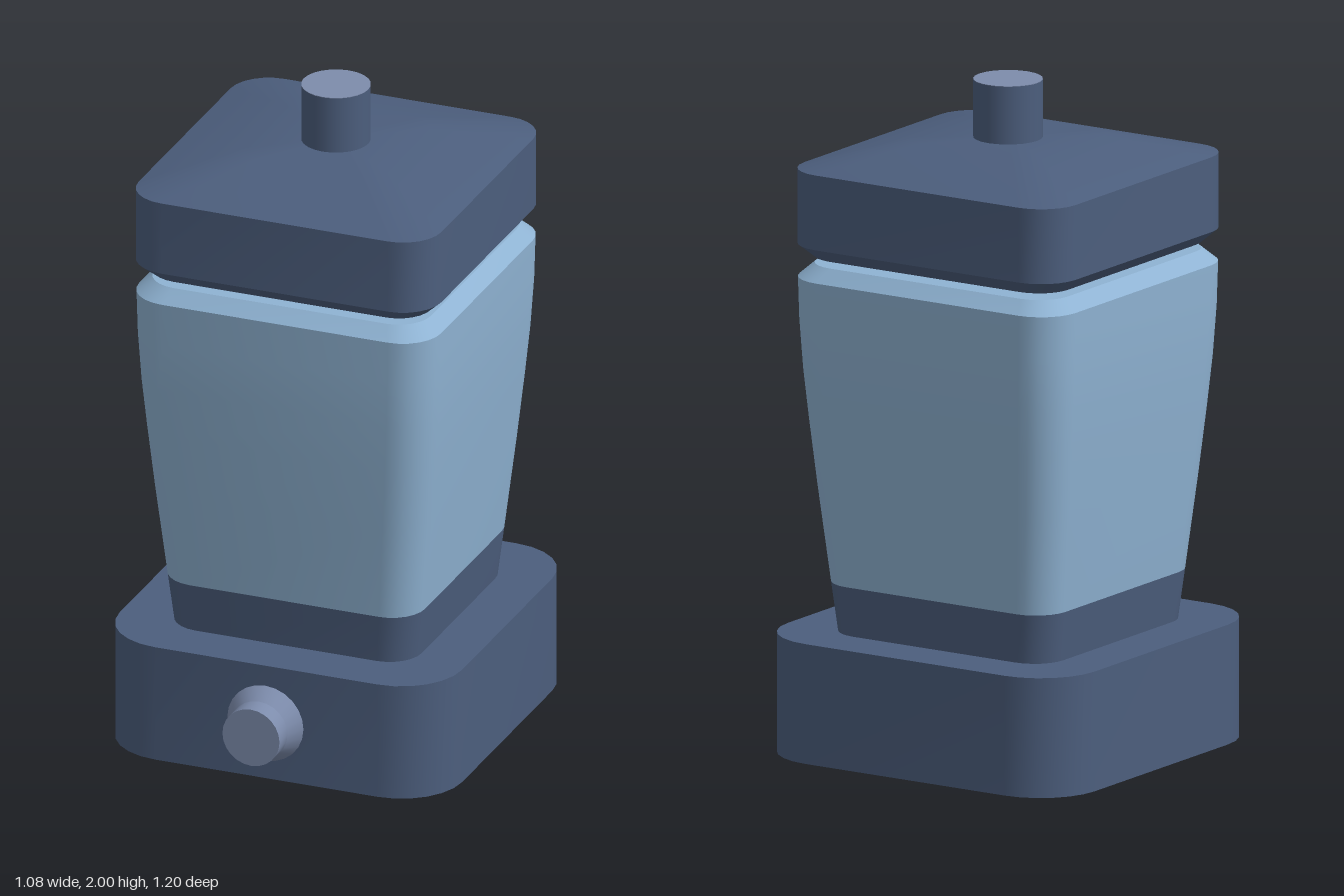
import * as THREE from 'three';
import { toCreasedNormals } from 'three/addons/utils/BufferGeometryUtils.js';

const CENTRE_Z = -0.06;
const CORNER_STEPS = 6;

const material = (name, color) => Object.assign(new THREE.MeshStandardMaterial({ color }), { name });

// Outline of a rounded square, counter-clockwise seen from the front of its plane
function roundedSquare(half, radius) {
  const points = [];
  for (let corner = 0; corner < 4; corner++) {
    const start = corner * Math.PI / 2;
    const cx = (corner === 0 || corner === 3 ? 1 : -1) * (half - radius);
    const cy = (corner < 2 ? 1 : -1) * (half - radius);
    for (let i = 0; i <= CORNER_STEPS; i++) {
      const a = start + (i / CORNER_STEPS) * Math.PI / 2;
      points.push([cx + radius * Math.cos(a), cy + radius * Math.sin(a)]);
    }
  }
  return points;
}

// Closed loft through rounded squares, each given as [y, half width, corner radius]
function loft(sections) {
  const positions = [], indices = [];
  const n = 4 * (CORNER_STEPS + 1);
  for (const [y, half, radius] of sections) {
    for (const [x, p] of roundedSquare(half, radius)) positions.push(x, y, -p);
  }
  for (let s = 0; s < sections.length - 1; s++) {
    for (let i = 0; i < n; i++) {
      const a = s * n + i, b = s * n + (i + 1) % n;
      indices.push(a, b, b + n, a, b + n, a + n);
    }
  }
  const last = (sections.length - 1) * n;
  const bottom = positions.length / 3, top = bottom + 1;
  positions.push(0, sections[0][0], 0, 0, sections[sections.length - 1][0], 0);
  for (let i = 0; i < n; i++) {
    const j = (i + 1) % n;
    indices.push(bottom, j, i, top, last + i, last + j);
  }
  const geometry = new THREE.BufferGeometry();
  geometry.setAttribute('position', new THREE.Float32BufferAttribute(positions, 3));
  geometry.setIndex(indices);
  return toCreasedNormals(geometry, Math.PI / 6);
}

export function createModel() {
  const dark = material('dark slate', 0x4c5e7d);
  const glass = material('pale blue', 0x8fb3d3);
  const light = material('light slate', 0x7d8cac);

  const model = new THREE.Group();
  model.name = 'blender';
  const add = (name, geometry, mat, x = 0, y = 0, z = CENTRE_Z) => {
    const mesh = new THREE.Mesh(geometry, mat);
    mesh.name = name;
    mesh.position.set(x, y, z);
    model.add(mesh);
    return mesh;
  };

  // Base and the collar that holds the jug
  add('base', loft([[0, 0.54, 0.19], [0.36, 0.54, 0.19]]), dark);
  add('collar', loft([[0.35, 0.385, 0.1], [0.51, 0.402, 0.104]]), dark);

  // Jug, widening upward to a chamfered rim
  add('jug', loft([
    [0.51, 0.402, 0.104], [0.8, 0.432, 0.11], [1.0, 0.451, 0.114], [1.15, 0.464, 0.117],
    [1.3, 0.473, 0.12], [1.43, 0.476, 0.12], [1.47, 0.435, 0.1],
  ]), glass);

  // Lid floating just above the rim, with a shallow sloped top
  add('lid', loft([
    [1.49, 0.435, 0.1], [1.53, 0.477, 0.12], [1.755, 0.477, 0.12], [1.825, 0.225, 0.06],
  ]), dark);

  // Lid handle with a lighter cap
  add('lidHandle', new THREE.CylinderGeometry(0.102, 0.102, 0.197, 24), dark, 0, 1.9, CENTRE_Z);
  add('handleCap', new THREE.CylinderGeometry(0.102, 0.102, 0.002, 24), light, 0, 1.999, CENTRE_Z);

  // Control knob, flared toward the base
  const profile = [[0, 0], [0.12, 0], [0.09, 0.05], [0.09, 0.112], [0, 0.112]]
    .map(([r, y]) => new THREE.Vector2(r, y));
  const knob = toCreasedNormals(new THREE.LatheGeometry(profile, 24), Math.PI / 6);
  add('controlKnob', knob, light, 0, 0.18, 0.488).rotation.x = Math.PI / 2;

  return model;
}
